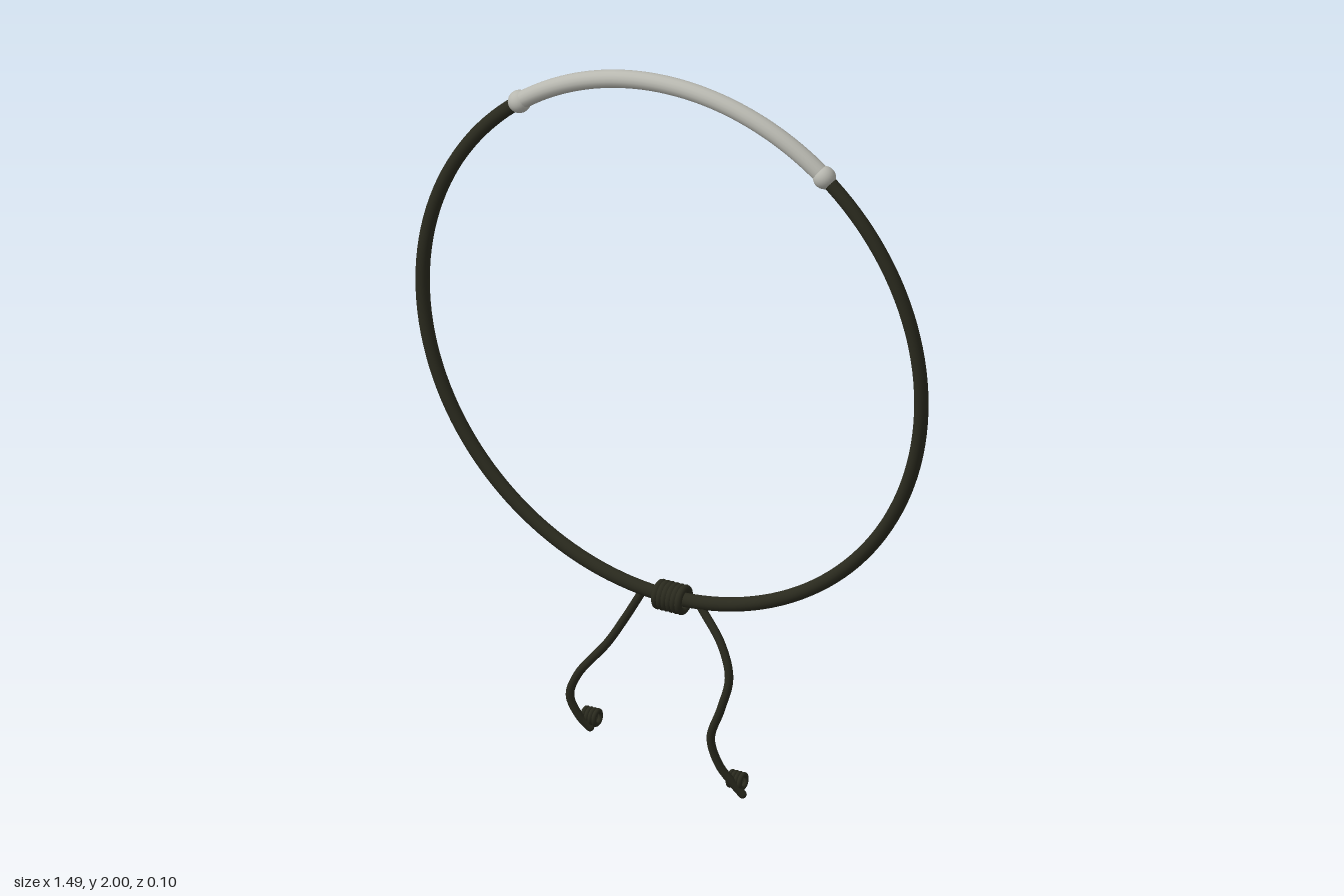
import * as THREE from 'three';

const cordMat = new THREE.MeshStandardMaterial({ color: 0x2a2a1e });
cordMat.name = 'dark cord';
const silverMat = new THREE.MeshStandardMaterial({ color: 0xb8b8b0 });
silverMat.name = 'silver';

const R = 0.728, CY = 1.25, Z = -0.011;
const END = THREE.MathUtils.degToRad(52.3); // angle where the bar meets the cord

function add(parent, name, geometry, material, x = 0, y = 0, z = 0) {
  const mesh = new THREE.Mesh(geometry, material);
  mesh.name = name;
  mesh.position.set(x, y, z);
  parent.add(mesh);
  return mesh;
}

// Part of the ring, from one angle round to another
function arc(parent, name, radius, from, to, material) {
  const mesh = add(parent, name, new THREE.TorusGeometry(R, radius, 16, 120, to - from), material, 0, CY, Z);
  mesh.rotation.z = from;
}

// Row of cord wraps lying along x
function wraps(parent, name, count, spacing, ringRadius, tube, x, y) {
  const group = new THREE.Group();
  group.name = name;
  group.position.set(x, y, Z);
  const geometry = new THREE.TorusGeometry(ringRadius, tube, 10, 32).rotateY(Math.PI / 2);
  for (let i = 0; i < count; i++) {
    add(group, 'wrap', geometry, cordMat, (i - (count - 1) / 2) * spacing);
  }
  parent.add(group);
}

// Loose cord end with closed tips
function tail(parent, name, points) {
  const group = new THREE.Group();
  group.name = name;
  const path = new THREE.CatmullRomCurve3(points.map((p) => new THREE.Vector3(...p)));
  add(group, 'strand', new THREE.TubeGeometry(path, 64, 0.011, 12), cordMat);
  for (const p of [points[0], points[points.length - 1]]) {
    add(group, 'tip', new THREE.SphereGeometry(0.011, 12, 8), cordMat, ...p);
  }
  parent.add(group);
}

export function createModel() {
  const model = new THREE.Group();
  model.name = 'cordNecklace';

  // Ring: dark cord with a curved silver bar at the top
  arc(model, 'cord', 0.0185, Math.PI - END, 2 * Math.PI + END, cordMat);
  arc(model, 'silverBar', 0.0235, END, Math.PI - END, silverMat);
  for (const side of [-1, 1]) {
    add(model, 'endBead', new THREE.SphereGeometry(0.03, 24, 16), silverMat,
      side * R * Math.cos(END), CY + R * Math.sin(END), Z);
  }

  // Sliding knot at the bottom
  wraps(model, 'slidingKnot', 6, 0.0135, 0.03, 0.01, 0, CY - R);

  // Hanging ends
  tail(model, 'rightTail', [
    [-0.085, 0.52, Z], [-0.125, 0.445, 0], [-0.175, 0.36, 0.012], [-0.255, 0.255, 0.026],
    [-0.277, 0.19, 0.026], [-0.255, 0.13, 0.014], [-0.232, 0.1, 0.002],
  ]);
  tail(model, 'leftTail', [
    [0.08, 0.52, Z], [0.16, 0.435, 0.016], [0.19, 0.355, 0.031], [0.17, 0.265, 0.038],
    [0.14, 0.175, 0.037], [0.157, 0.1, 0.026], [0.188, 0.05, 0.012], [0.212, 0.016, 0],
  ]);

  // Small stopper knots near the tips
  wraps(model, 'rightStopperKnot', 4, 0.011, 0.018, 0.0065, -0.235, 0.125);
  wraps(model, 'leftStopperKnot', 4, 0.011, 0.018, 0.0065, 0.19, 0.047);

  return model;
}
